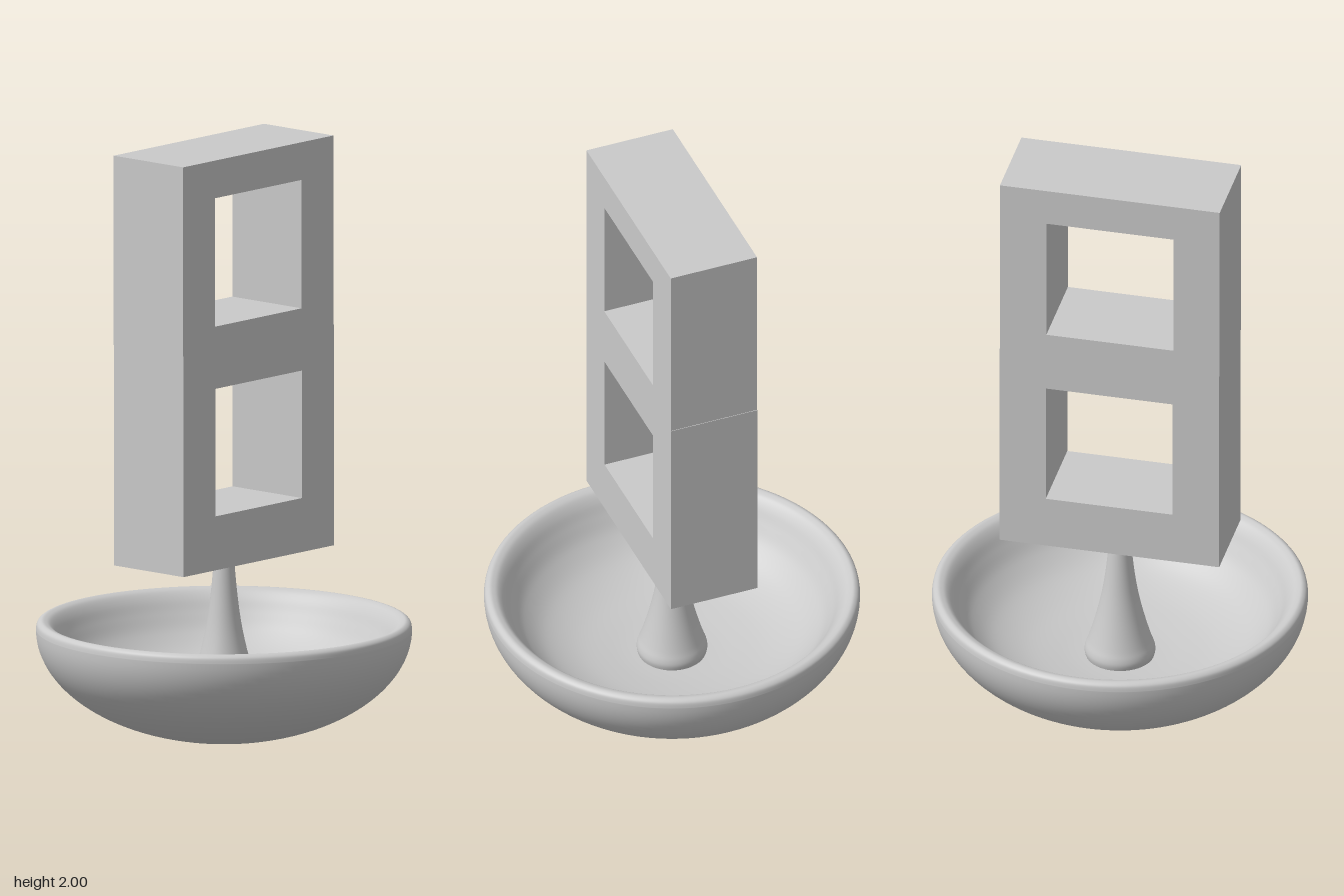
import * as THREE from 'three';

const grey = new THREE.MeshStandardMaterial({ color: 0xcacaca });
grey.name = 'plain grey';

function addMesh(group, name, geometry) {
  const mesh = new THREE.Mesh(geometry, grey);
  mesh.name = name;
  group.add(mesh);
  return mesh;
}

const toCurve = (profile) => new THREE.SplineCurve(profile.map(([r, y]) => new THREE.Vector2(r, y)));

// Thick bowl: elliptical outside, rim rolling softly into a shallow inside
function bowlGeometry() {
  const steps = 32, rimY = 0.37, radius = 0.623;
  const points = [];
  for (let i = 0; i < steps; i++) {
    const a = i / steps * Math.PI / 2;
    points.push(new THREE.Vector2(radius * Math.sin(a), rimY * (1 - Math.cos(a))));
  }
  const inside = toCurve([[radius, rimY], [0.619, 0.389], [0.606, 0.399], [0.592, 0.398], [0.575, 0.389],
    [0.555, 0.365], [0.53, 0.322], [0.49, 0.265], [0.42, 0.207], [0.32, 0.166], [0.2, 0.144],
    [0.1, 0.136], [0, 0.135]]);
  points.push(...inside.getPoints(72));
  return new THREE.LatheGeometry(points, 96);
}

// Stem with a flared, rounded foot on the bowl floor
function stemGeometry() {
  const curve = toCurve([[0.108, 0.12], [0.117, 0.15], [0.115, 0.172], [0.105, 0.2], [0.09, 0.25],
    [0.072, 0.32], [0.056, 0.4], [0.043, 0.5], [0.032, 0.625]]);
  return new THREE.LatheGeometry(curve.getPoints(32), 48);
}

// Square-holed block: outer bottom and top, then hole bottom and top
function blockGeometry(y0, y1, h0, h1) {
  const w = 0.374, h = 0.216, depth = 0.308;
  const rect = (path, x, a, b) => path.moveTo(-x, a).lineTo(x, a).lineTo(x, b).lineTo(-x, b).closePath();
  const shape = new THREE.Shape();
  rect(shape, w, y0, y1);
  const hole = new THREE.Path();
  rect(hole, h, h0, h1);
  shape.holes.push(hole);
  return new THREE.ExtrudeGeometry(shape, { depth, bevelEnabled: false }).translate(0, 0, -depth / 2);
}

export function createModel() {
  const group = new THREE.Group();
  group.name = 'blockOnBowlStand';
  addMesh(group, 'bowl', bowlGeometry());
  addMesh(group, 'stem', stemGeometry());
  addMesh(group, 'lowerBlock', blockGeometry(0.618, 1.362, 0.8, 1.23));
  // The upper block sits very slightly off the lower one
  addMesh(group, 'upperBlock', blockGeometry(1.362, 2, 1.44, 1.873)).position.x = -0.002;
  return group;
}
